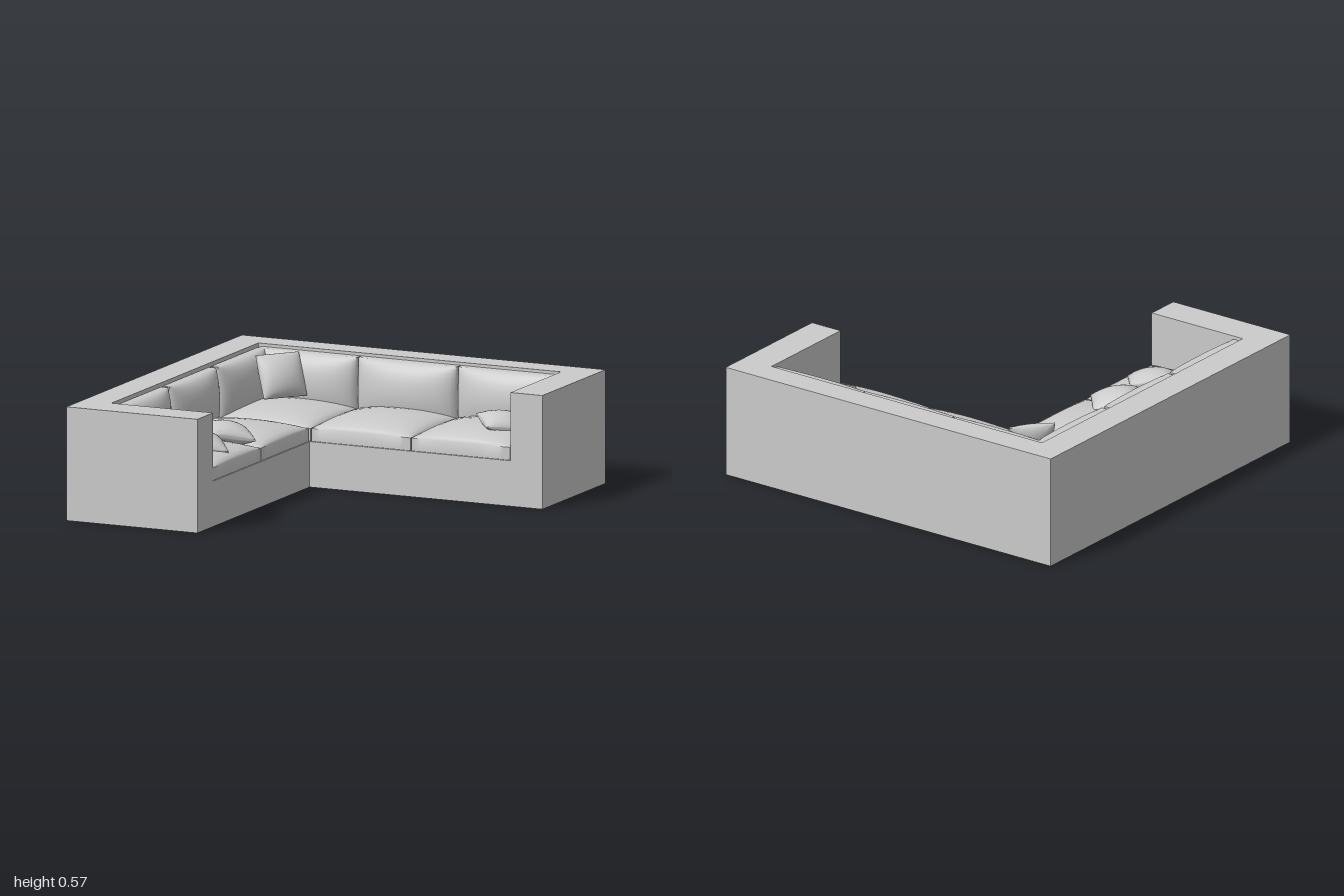
import * as THREE from 'three';
import { toCreasedNormals } from 'three/addons/utils/BufferGeometryUtils.js';

const mat = new THREE.MeshStandardMaterial({ color: 0xcccccc });
const sheetMat = new THREE.MeshStandardMaterial({ color: 0xcccccc, side: THREE.DoubleSide });

const TOP = 0.575, DECK = 0.23;

function add(parent, name, geometry, material = mat) {
  const mesh = new THREE.Mesh(geometry, material);
  mesh.name = name;
  parent.add(mesh);
  return mesh;
}

// Flat horizontal sheet from [x, z] corners at height y
function sheet(points, y) {
  const shape = new THREE.Shape(points.map(([x, z]) => new THREE.Vector2(x, -z)));
  return new THREE.ShapeGeometry(shape).rotateX(-Math.PI / 2).translate(0, y, 0);
}

// Vertical sheet between two [x, z] points
function wall([x0, z0], [x1, z1], y0, y1) {
  const g = new THREE.PlaneGeometry(Math.hypot(x1 - x0, z1 - z0), y1 - y0);
  g.rotateY(Math.atan2(z0 - z1, x1 - x0));
  return g.translate((x0 + x1) / 2, (y0 + y1) / 2, (z0 + z1) / 2);
}

// Padded block: a grid box swelling on its top, and on its bottom when twoSided
function padded(w, d, edge, bulge, twoSided = false, power = 0.5) {
  const g = new THREE.BoxGeometry(2, 2, 2, 14, 1, 14);
  const p = g.attributes.position;
  for (let i = 0; i < p.count; i++) {
    const u = Math.sin(p.getX(i) * Math.PI / 2);
    const v = Math.sin(p.getZ(i) * Math.PI / 2);
    const swell = bulge * Math.pow(Math.max(0, (1 - u * u) * (1 - v * v)), power);
    const up = p.getY(i) > 0;
    let y = up ? edge + swell : 0;
    if (twoSided) y = (up ? 1 : -1) * (edge + swell);
    p.setXYZ(i, u * w / 2, y, v * d / 2);
  }
  return toCreasedNormals(g, 0.8);
}

export function createModel() {
  const sofa = new THREE.Group();
  sofa.name = 'cornerSofa';

  // Hollow frame, open underneath
  const frame = new THREE.Group();
  frame.name = 'frame';
  sofa.add(frame);
  const well = [[0.825, -0.28], [0.825, -0.855], [-0.84, -0.855], [-0.84, 0.82], [-0.28, 0.82]];
  const outer = [[-0.28, 1], [-1, 1], [-1, -1], [1, -1], [1, -0.28]];
  add(frame, 'topRim', sheet([...outer, ...well], TOP), sheetMat);
  add(frame, 'seatDeck', sheet([...well, [-0.28, -0.28]], DECK), sheetMat);
  for (let i = 0; i < 4; i++) {
    add(frame, 'outerWall', wall(outer[i], outer[i + 1], 0, TOP), sheetMat);
    add(frame, 'innerWall', wall(well[i], well[i + 1], DECK, TOP), sheetMat);
  }
  add(frame, 'armFront', wall(outer[4], well[0], 0, TOP), sheetMat);
  add(frame, 'armFront', wall(well[4], outer[0], 0, TOP), sheetMat);
  add(frame, 'seatFront', wall([-0.28, -0.28], well[0], 0, DECK), sheetMat);
  add(frame, 'seatFront', wall([-0.28, -0.28], well[4], 0, DECK), sheetMat);

  // Seat cushions: three along the back, two along the side
  const seats = [
    [-0.838, -0.275, -0.852, -0.28], [-0.27, 0.275, -0.852, -0.28], [0.28, 0.822, -0.852, -0.28],
    [-0.838, -0.282, -0.272, 0.268], [-0.838, -0.282, 0.276, 0.818],
  ];
  for (const [x0, x1, z0, z1] of seats) {
    add(sofa, 'seatCushion', padded(x1 - x0, z1 - z0, 0.065, 0.057))
      .position.set((x0 + x1) / 2, DECK + 0.002, (z0 + z1) / 2);
  }

  // Back cushions stand against both long walls
  const back = (w) => padded(w, 0.325, 0.04, 0.08).rotateX(Math.PI / 2);
  for (const [a, b] of [[-0.82, -0.275], [-0.268, 0.275], [0.282, 0.82]]) {
    add(sofa, 'backCushion', back(b - a)).position.set((a + b) / 2, 0.398, -0.85);
  }
  for (const [a, b] of [[-0.82, -0.285], [-0.265, 0.265], [0.282, 0.815]]) {
    const side = add(sofa, 'sideBackCushion', back(b - a));
    side.rotation.y = Math.PI / 2;
    side.position.set(-0.828, 0.398, (a + b) / 2);
  }

  // Throw pillows: position, heading of the tilt, tilt, turn of the square
  const pillows = [
    [0.655, 0.355, -0.565, Math.PI / 2, 0.19, 0.7],
    [-0.478, 0.355, 0.247, 2.0, 0.18, 0.7],
    [-0.476, 0.355, 0.56, 1.1, 0.18, 0.7],
    [-0.62, 0.465, -0.66, 0.9, 1.13, 0.9],
  ];
  for (const [x, y, z, heading, tilt, turn] of pillows) {
    const geometry = padded(0.235, 0.225, 0.004, 0.054, true, 0.6).rotateY(turn - heading);
    const pillow = add(sofa, 'throwPillow', geometry);
    pillow.rotation.set(tilt, heading, 0, 'YXZ');
    pillow.position.set(x, y, z);
  }
  return sofa;
}
